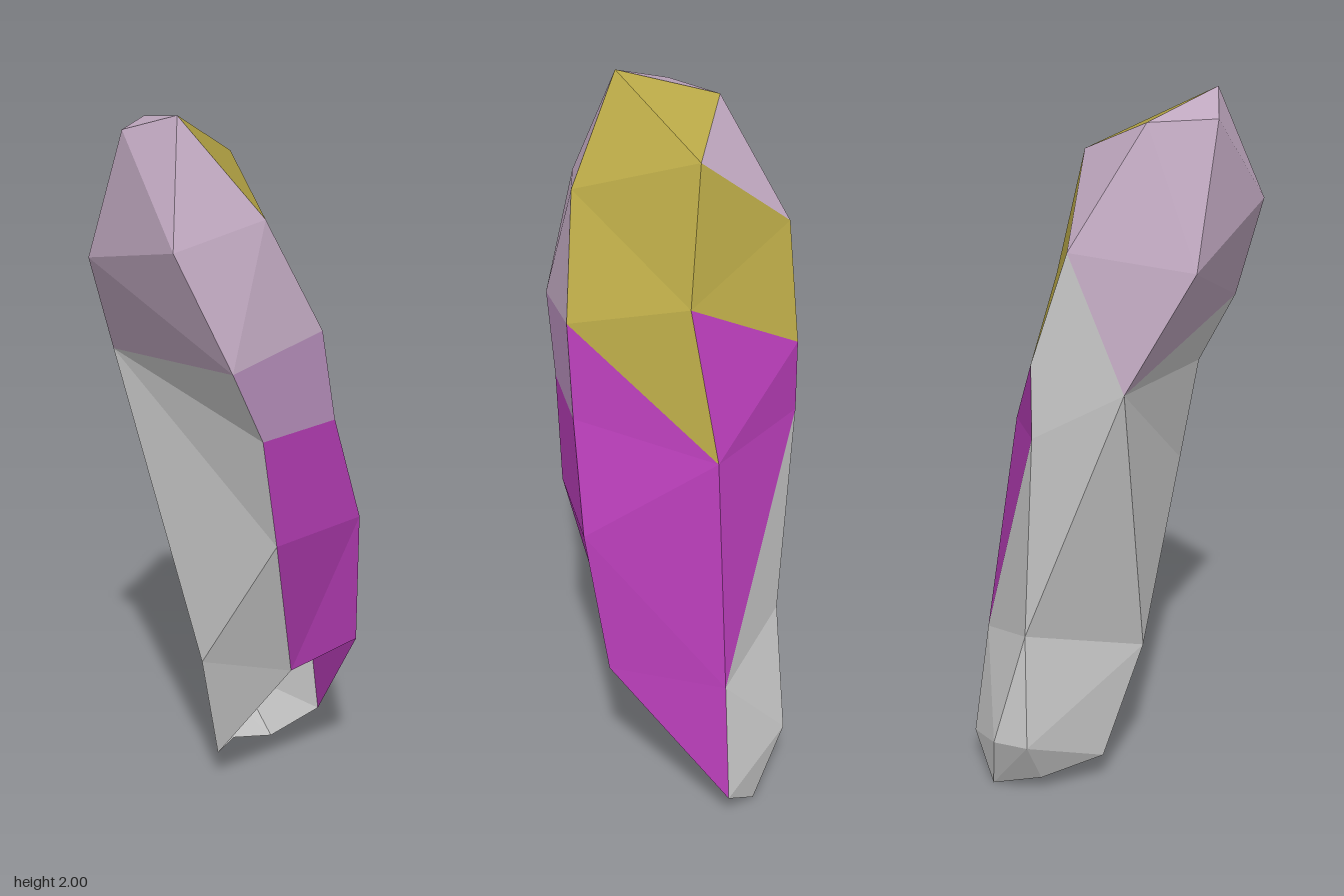
import * as THREE from 'three';

// Corner points of the faceted shard, listed along its ridges from tip to foot
const corners = {
  // tip
  A: [-0.175, 1.95, -0.15], B: [-0.275, 2, 0.1], C: [-0.325, 1.95, -0.05],
  // ridge on the +x side
  D: [0.025, 1.85, -0.05], E: [0.125, 1.5, 0], F: [0.225, 1.1, -0.05],
  I: [0.325, 0.45, -0.05], G: [0.375, 0.1, -0.05], H: [0.275, 0, -0.15],
  // front ridge
  Q: [-0.125, 1.75, 0.25], R: [0.025, 1.45, 0.3], V: [0.075, 1.2, 0.3],
  S: [0.175, 0.9, 0.3], T: [0.225, 0.5, 0.25],
  // ridge on the -x side
  J: [-0.375, 1.7, 0.2], P: [-0.275, 1.4, 0.3], W: [-0.175, 1.2, 0.3],
  X: [-0.125, 0.9, 0.3], Y: [0.025, 0.45, 0.2], d: [-0.125, 0.45, 0],
  Z: [-0.025, 0.1, -0.05], U: [0.125, 0.05, -0.15],
  // back ridge
  K: [-0.325, 1.6, -0.2], M: [-0.025, 1.65, -0.3], L: [-0.175, 1.3, -0.3],
  N: [0.075, 1.35, -0.3], O: [0.075, 1.15, -0.3],
  a: [0.125, 0.55, -0.25], b: [0.125, 0.2, -0.25], c: [0.225, 0.2, -0.25],
};

// Each fan is a hub corner followed by the corners around it
function facets(name, color, fans) {
  const positions = [];
  for (const fan of fans) {
    const [hub, ...rim] = [...fan].map((k) => new THREE.Vector3(...corners[k]));
    for (let i = 0; i + 1 < rim.length; i++) {
      const tri = [hub, rim[i], rim[i + 1]];
      const mid = new THREE.Vector3().add(hub).add(rim[i]).add(rim[i + 1]).divideScalar(3);
      // turn every facet away from the leaning axis of the shard
      const y = THREE.MathUtils.clamp(mid.y, 0.3, 1.7);
      const outward = mid.clone().sub(new THREE.Vector3(0.22 - 0.2 * y, y, 0));
      const normal = new THREE.Triangle(...tri).getNormal(new THREE.Vector3());
      if (normal.dot(outward) < 0) tri.reverse();
      tri.forEach((p) => positions.push(p.x, p.y, p.z));
    }
  }
  const geometry = new THREE.BufferGeometry();
  geometry.setAttribute('position', new THREE.Float32BufferAttribute(positions, 3));
  geometry.computeVertexNormals();
  const mesh = new THREE.Mesh(geometry, new THREE.MeshStandardMaterial({
    color, flatShading: true, side: THREE.DoubleSide,
  }));
  mesh.name = name;
  return mesh;
}

export function createModel() {
  const shard = new THREE.Group();
  shard.name = 'crystalShard';
  shard.add(
    facets('yellowTip', 0xb5a545, ['BADQ', 'ENMDQRF']),
    facets('paleTip', 0xc0a8c0, ['CABJKA', 'AKMD', 'QBJPR', 'KMLPJ']),
    facets('magentaSide', 0xb43cb4, ['FRVSIONE', 'ISTG', 'VWXS', 'SXYT']),
    facets('frontShoulder', 0xb890bc, ['RPWV']),
    facets('greyBack', 0xcccccc, ['LMNOa', 'LadXWP', 'IGcaO']),
    // the foot stays open between the front rim and the back
    facets('openFoot', 0xcccccc, ['bcadZU', 'YXdZ', 'HGcbU']),
  );
  return shard;
}
